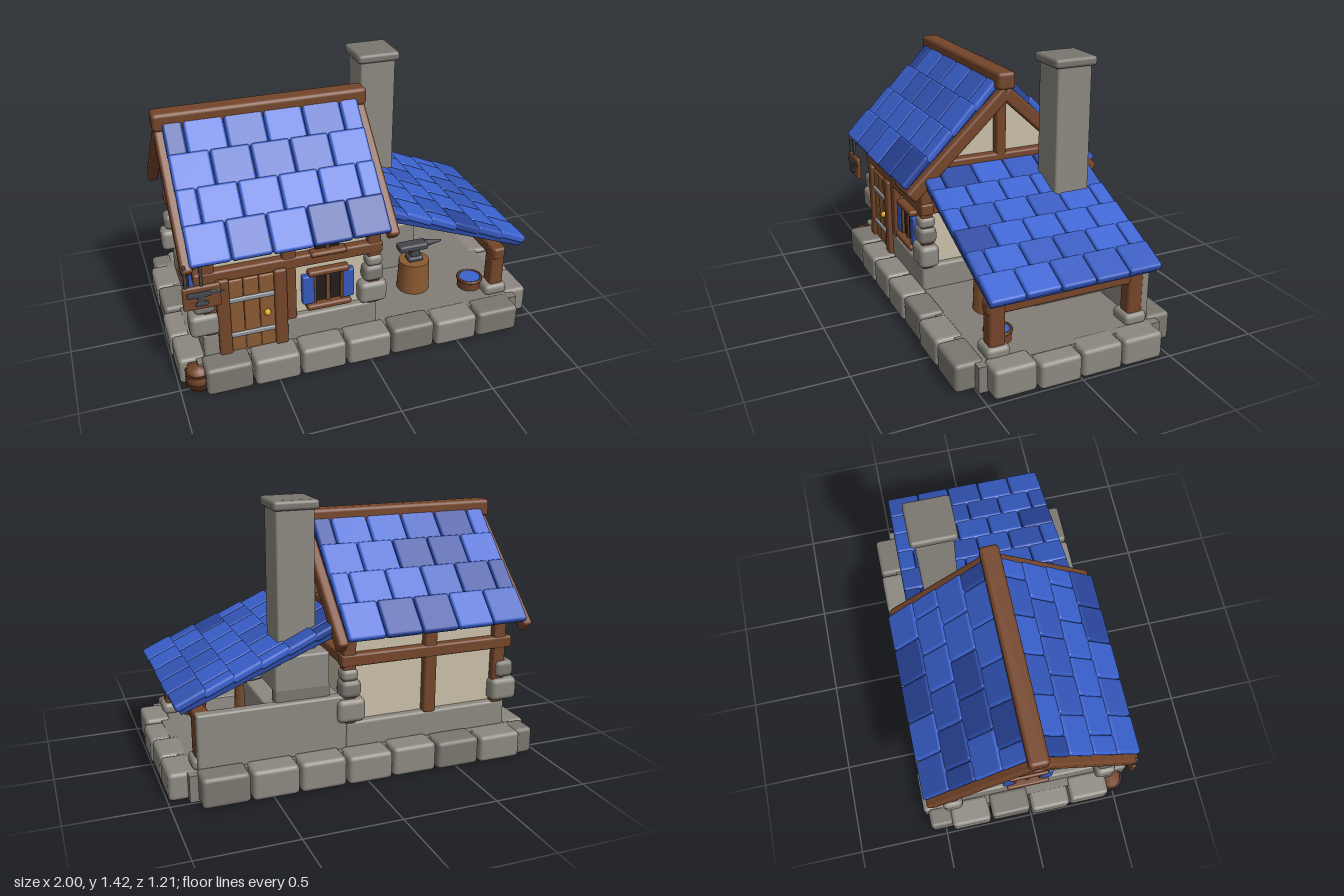
import * as THREE from 'three';
import { RoundedBoxGeometry } from 'three/addons/geometries/RoundedBoxGeometry.js';

const mat = (color) => new THREE.MeshStandardMaterial({ color });
const M = {
  stone: mat(0x8c8880), stoneDark: mat(0x7a766f), floor: mat(0x827e77), plaster: mat(0xc9bfa8),
  wood: mat(0x74452a), woodLight: mat(0x8a5a32), woodDark: mat(0x57321c),
  blue: mat(0x3a62d0), blueMid: mat(0x3458bd), blueDark: mat(0x2a479f),
  iron: mat(0x44464c), steel: mat(0x8f929a), dark: mat(0x231d1a), ember: mat(0xff6a1c), gold: mat(0xd8a020),
};

let seed = 7;
const rand = () => (seed = (seed * 16807) % 2147483647) / 2147483647;

function add(parent, name, geo, material, x = 0, y = 0, z = 0) {
  const m = new THREE.Mesh(geo, material);
  m.name = name;
  m.position.set(x, y, z);
  parent.add(m);
  return m;
}

// Soft-edged block given by its min and max on each axis
function block(parent, name, material, [x0, x1], [y0, y1], [z0, z1], r = 0.012) {
  const w = x1 - x0, h = y1 - y0, d = z1 - z0;
  const geo = new RoundedBoxGeometry(w, h, d, 2, Math.min(r, Math.min(w, h, d) * 0.45));
  return add(parent, name, geo, material, (x0 + x1) / 2, (y0 + y1) / 2, (z0 + z1) / 2);
}

const cyl = (rt, rb, h, n = 20) => new THREE.CylinderGeometry(rt, rb, h, n);

// Sloping panel of overlapping tiles: width on x, running down along +z
function tilePanel(name, width, length, rows, perRow, thick) {
  const g = new THREE.Group();
  g.name = name;
  block(g, 'roofBoard', M.blueDark, [-width / 2 + 0.01, width / 2 - 0.01], [-0.045, -0.012], [0, length - 0.015], 0.005);
  const tw = width / perRow, pitch = length / rows;
  for (let r = 0; r < rows; r++) {
    for (let i = 0; i <= perRow; i++) {
      const start = -width / 2 + (i - (r % 2 ? 0 : 0.5)) * tw;
      const a = Math.max(start, -width / 2), b = Math.min(start + tw, width / 2);
      if (b - a < 0.03) continue;
      const k = rand();
      const m = k < 0.2 ? M.blueDark : k < 0.5 ? M.blueMid : M.blue;
      const t = block(g, 'roofTile', m, [a + 0.002, b - 0.002], [-thick / 2, thick / 2],
        [r * pitch - 0.02, (r + 1) * pitch + 0.008 * (rand() - 0.3)], 0.014);
      t.rotation.x = 0.06;
    }
  }
  return g;
}

function anvil(parent, x, y, z, s) {
  const g = new THREE.Group();
  g.name = 'anvil';
  block(g, 'anvilFoot', M.iron, [-0.045, 0.045], [0, 0.03], [-0.035, 0.035]);
  block(g, 'anvilWaist', M.iron, [-0.028, 0.028], [0.02, 0.08], [-0.024, 0.024]);
  block(g, 'anvilTop', M.iron, [-0.1, 0.07], [0.07, 0.11], [-0.035, 0.035]);
  const horn = add(g, 'anvilHorn', cyl(0.005, 0.022, 0.1, 12), M.iron, 0.11, 0.092, 0);
  horn.rotation.z = -Math.PI / 2;
  g.position.set(x, y, z);
  g.scale.set(...s);
  parent.add(g);
}

// Shuttered window facing +z
function makeWindow() {
  const g = new THREE.Group();
  g.name = 'window';
  block(g, 'opening', M.dark, [-0.08, 0.08], [0.34, 0.515], [0, 0.02], 0.004);
  block(g, 'mullion', M.wood, [-0.012, 0.012], [0.34, 0.515], [0, 0.03], 0.004);
  for (const s of [-1, 1]) {
    const x = s * 0.108;
    block(g, 'shutter', M.blueMid, [x - 0.031, x + 0.031], [0.342, 0.51], [0, 0.04], 0.008);
    block(g, 'jamb', M.wood, [s * 0.072 - 0.008, s * 0.072 + 0.008], [0.34, 0.515], [0, 0.035], 0.004);
  }
  block(g, 'lintel', M.wood, [-0.11, 0.11], [0.508, 0.54], [0, 0.05]);
  block(g, 'sill', M.wood, [-0.12, 0.12], [0.31, 0.342], [0, 0.06]);
  return g;
}

function buildBase(root) {
  const g = new THREE.Group();
  g.name = 'base';
  root.add(g);
  add(g, 'floor', new THREE.BoxGeometry(1.8, 0.137, 1.0), M.floor, 0, 0.0735, 0);
  const shade = () => (rand() < 0.4 ? M.stoneDark : M.stone);
  for (const s of [-1, 1]) {
    for (let i = 0; i < 7; i++) {
      const x = -0.88 + i * 0.249, o = rand() * 0.015;
      const z = s > 0 ? [0.45, 0.605 - o] : [-0.605 + o, -0.45];
      block(g, 'edgeStone', shade(), [x + 0.004, x + 0.243], [0, 0.145 + o], z, 0.022);
    }
    for (let i = 0; i < 4; i++) {
      const z = -0.46 + i * 0.23, o = i === 2 ? 0 : rand() * 0.02;
      const x = s > 0 ? [0.85, 1 - o] : [-1 + o, -0.85];
      block(g, 'edgeStone', shade(), x, [0, 0.14 + o], [z + 0.004, z + 0.226], 0.022);
    }
  }
  block(g, 'cornerStone', M.stoneDark, [-0.97, -0.86], [0, 0.145], [-0.58, -0.45], 0.022);
  // Corner barrel
  const pts = [[0, 0], [0.052, 0], [0.068, 0.065], [0.054, 0.13], [0, 0.13]].map((p) => new THREE.Vector2(...p));
  add(g, 'barrel', new THREE.LatheGeometry(pts, 18), M.wood, -0.9, 0, 0.49);
  for (const y of [0.035, 0.095]) add(g, 'barrelHoop', cyl(0.068, 0.068, 0.016), M.woodDark, -0.9, y, 0.49);
}

function buildHouse(root) {
  const g = new THREE.Group();
  g.name = 'house';
  root.add(g);
  block(g, 'foundation', M.stone, [-0.855, 0.075], [0.13, 0.28], [-0.46, 0.46], 0.015);
  // Plaster walls with gables
  const s = new THREE.Shape([[-0.42, 0.2], [0.42, 0.2], [0.42, 0.8], [0, 1.19], [-0.42, 0.8]].map((p) => new THREE.Vector2(...p)));
  add(g, 'walls', new THREE.ExtrudeGeometry(s, { depth: 0.86, bevelEnabled: false }).rotateY(Math.PI / 2), M.plaster, -0.82);
  // Timber frame
  for (const f of [-1, 1]) {
    const z = f * 0.43;
    block(g, 'wallBeam', M.wood, [-0.88, 0.1], [0.58, 0.645], [z - 0.035, z + 0.035]);
    block(g, 'eaveBeam', M.wood, [-0.88, 0.1], [0.72, 0.78], [z - 0.03, z + 0.03]);
    for (const x of [-0.81, -0.4, 0.055]) block(g, 'wallPost', M.wood, [x - 0.035, x + 0.035], [0.27, 0.75], [z - 0.032, z + 0.032]);
    // Corner stones
    for (const [x, k] of [[-0.84, -1], [0.05, 1]]) {
      block(g, 'quoin', M.stone, [x - 0.078, x + 0.075], [0.285, 0.41], [z - 0.055, z + 0.055], 0.028);
      block(g, 'quoin', M.stoneDark, [x - 0.055, x + 0.055], [0.415, 0.51], [z - 0.05, z + 0.05], 0.028);
      if (k > 0) block(g, 'quoin', M.stone, [x - 0.04, x + 0.05], [0.505, 0.57], [z - 0.045, z + 0.045], 0.025);
    }
    const x = f > 0 ? 0.055 : -0.83;
    block(g, 'sideBeam', M.wood, [x - 0.035, x + 0.035], [0.58, 0.64], [-0.45, 0.45]);
    block(g, 'tieBeam', M.wood, [x - 0.035, x + 0.035], [0.8, 0.865], [-0.42, 0.42]);
    block(g, 'gablePost', M.wood, [x - 0.035, x + 0.035], [f > 0 ? 0.27 : 0.58, 1.2], [-0.028, 0.028]);
  }
  // Door
  for (const x of [-0.745, -0.452]) block(g, 'doorPost', M.wood, [x - 0.033, x + 0.033], [0.145, 0.6], [0.42, 0.485]);
  for (let i = 0; i < 3; i++) block(g, 'doorPlank', M.woodLight, [-0.718 + i * 0.08, -0.641 + i * 0.08], [0.15, 0.58], [0.42, 0.468], 0.008);
  for (const y of [0.255, 0.465]) block(g, 'doorStrap', M.steel, [-0.72, -0.485], [y - 0.013, y + 0.013], [0.46, 0.478], 0.006);
  add(g, 'doorKnob', new THREE.SphereGeometry(0.018, 14, 10), M.gold, -0.525, 0.36, 0.478);
  // Windows on the front and the left end
  const w1 = makeWindow();
  w1.position.set(-0.193, 0, 0.42);
  const w2 = makeWindow();
  w2.position.set(-0.82, 0, 0);
  w2.rotation.y = -Math.PI / 2;
  g.add(w1, w2);
  block(g, 'upperWindow', M.dark, [-0.26, -0.13], [0.645, 0.73], [0.42, 0.44], 0.004);
  block(g, 'upperMullion', M.wood, [-0.205, -0.185], [0.645, 0.73], [0.42, 0.45], 0.004);
  block(g, 'upperSill', M.wood, [-0.29, -0.1], [0.628, 0.655], [0.42, 0.48]);
  // Main roof
  const slope = Math.atan2(0.493, 0.53);
  for (const f of [1, -1]) {
    const side = new THREE.Group();
    side.name = 'roofSide';
    const p = tilePanel('roofPanel', 1.01, 0.725, 4, 5, 0.04);
    p.position.set(f * -0.4, 1.25, 0.03);
    p.rotation.x = slope;
    side.add(p);
    for (const x of [-0.915, 0.125]) {
      const b = block(side, 'bargeBoard', M.wood, [-0.028, 0.028], [-0.036, 0.036], [-0.37, 0.37], 0.015);
      b.position.set(f * x, 0.96, 0.265);
      b.rotation.x = slope;
    }
    if (f < 0) side.rotation.y = Math.PI;
    g.add(side);
  }
  block(g, 'ridgeBeam', M.wood, [-0.95, 0.157], [1.222, 1.316], [-0.05, 0.05], 0.02);
  // Hanging trade sign
  block(g, 'signBoard', M.wood, [-0.95, -0.765], [0.51, 0.64], [0.53, 0.555]);
  for (const x of [-0.93, -0.855]) block(g, 'signHanger', M.iron, [x - 0.008, x + 0.008], [0.63, 0.76], [0.534, 0.55], 0.004);
  anvil(g, -0.86, 0.535, 0.556, [0.7, 0.7, 0.25]);
}

function buildForge(root) {
  const g = new THREE.Group();
  g.name = 'forge';
  root.add(g);
  block(g, 'backWall', M.stone, [0.07, 0.845], [0.13, 0.43], [-0.46, -0.4]);
  block(g, 'hearth', M.stone, [0.09, 0.49], [0.13, 0.425], [-0.42, 0]);
  block(g, 'hearthBack', M.stoneDark, [0.15, 0.44], [0.41, 0.5], [-0.43, -0.36]);
  block(g, 'hood', M.stone, [0.153, 0.44], [0.475, 0.665], [-0.43, -0.09]);
  block(g, 'chimney', M.stone, [0.2, 0.4], [0.6, 1.39], [-0.353, -0.158]);
  block(g, 'chimneyCap', M.stoneDark, [0.18, 0.418], [1.37, 1.42], [-0.375, -0.137], 0.018);
  for (let i = 0; i < 9; i++) {
    const c = add(g, 'coal', new THREE.IcosahedronGeometry(0.038, 1), i % 3 === 2 ? M.dark : M.ember,
      0.21 + (i % 3) * 0.075, 0.435, -0.08 - Math.floor(i / 3) * 0.085);
    c.rotation.set(i, i * 2, 0);
  }
  const poker = add(g, 'poker', cyl(0.009, 0.009, 0.2, 10), M.iron, 0.4, 0.44, -0.06);
  poker.rotation.z = 1.4;
  // Porch posts and beam
  for (const z of [-0.38, 0.38]) {
    block(g, 'postStone', M.stone, [0.735, 0.87], [0.135, 0.2], [z - 0.063, z + 0.063], 0.025);
    block(g, 'porchPost', M.wood, [0.77, 0.85], [0.19, 0.43], [z - 0.042, z + 0.042], 0.015);
  }
  block(g, 'porchBeam', M.wood, [0.775, 0.845], [0.36, 0.43], [-0.43, 0.43], 0.015);
  // Porch roof
  const wrap = new THREE.Group();
  wrap.name = 'porchRoof';
  const p = tilePanel('porchPanel', 0.92, 0.905, 6, 5, 0.042);
  p.position.set(0, 0.805, 0.1);
  p.rotation.x = Math.atan2(0.33, 0.853);
  wrap.rotation.y = Math.PI / 2;
  wrap.add(p);
  g.add(wrap);
  // Stump, anvil and water bucket
  add(g, 'stump', cyl(0.085, 0.092, 0.18, 24), M.woodLight, 0.395, 0.23, 0.21);
  anvil(g, 0.395, 0.32, 0.21, [1, 1, 1]);
  add(g, 'bucket', cyl(0.07, 0.058, 0.195), M.wood, 0.7, 0.0985, 0.31);
  add(g, 'bucketRim', new THREE.TorusGeometry(0.066, 0.009, 8, 24).rotateX(Math.PI / 2), M.woodDark, 0.7, 0.196, 0.31);
  add(g, 'water', cyl(0.06, 0.06, 0.01), M.blue, 0.7, 0.195, 0.31);
}

export function createModel() {
  const root = new THREE.Group();
  root.name = 'smithy';
  buildBase(root);
  buildHouse(root);
  buildForge(root);
  return root;
}
